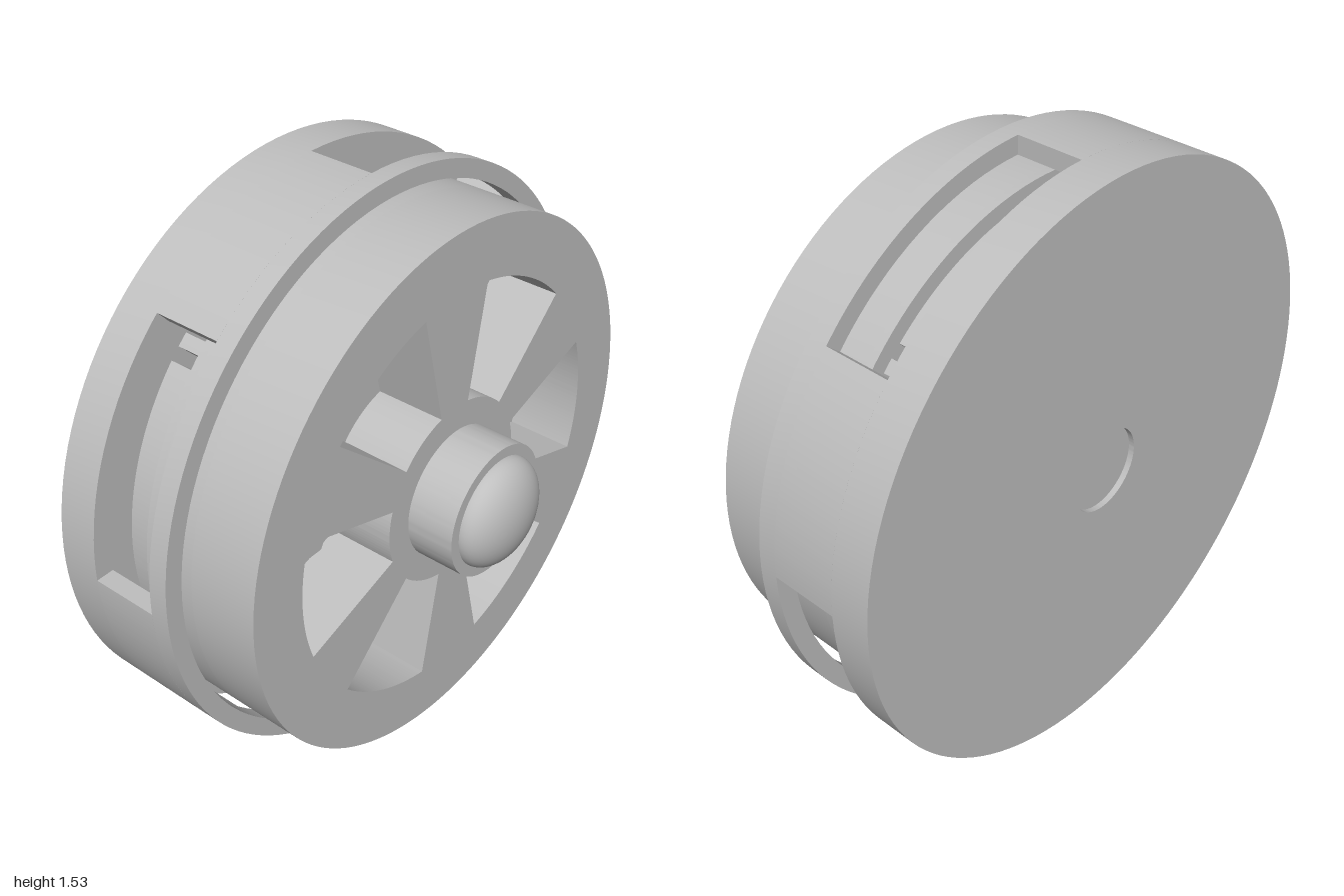
import * as THREE from 'three';
import { toCreasedNormals } from 'three/addons/utils/BufferGeometryUtils.js';

const DEG = Math.PI / 180;

export function createModel() {
  const model = new THREE.Group();
  model.name = 'clutchWheel';
  const metal = new THREE.MeshStandardMaterial({ color: 0xbfbfbf });
  metal.name = 'grey metal';

  const add = (name, geometry, x = 0, y = 0) => {
    const mesh = new THREE.Mesh(geometry, metal);
    mesh.name = name;
    mesh.position.set(x, y + 1.0, 0);
    model.add(mesh);
    return mesh;
  };

  // Extrudes a flat shape from z0 (back) to z1 (front)
  const slab = (shape, z0, z1) => {
    const g = new THREE.ExtrudeGeometry(shape, { depth: z1 - z0, bevelEnabled: false, curveSegments: 64 });
    g.translate(0, 0, z0);
    return toCreasedNormals(g, 0.5);
  };
  const circle = (r) => new THREE.Shape().absarc(0, 0, r, 0, Math.PI * 2, false);
  const ring = (outer, inner) => {
    const s = circle(outer);
    s.holes.push(new THREE.Path().absarc(0, 0, inner, 0, Math.PI * 2, true));
    return s;
  };
  // Annular sector between two angles in degrees
  const sector = (outer, inner, a, b, Type = THREE.Shape) => {
    const p = new Type();
    p.absarc(0, 0, outer, a * DEG, b * DEG, false);
    p.absarc(0, 0, inner, b * DEG, a * DEG, true);
    p.closePath();
    return p;
  };

  // Housing: front rim, four wall pieces with slots between them, back plate
  add('housingRim', slab(ring(0.767, 0.72), -0.09, -0.04));
  for (let k = 0; k < 4; k++) {
    add('housingWall', slab(sector(0.767, 0.72, k * 90, k * 90 + 41), -0.268, -0.09));
  }
  add('housingBack', slab(ring(0.767, 0.11), -0.375, -0.268));
  add('shaftEnd', slab(circle(0.11), -0.36, -0.268));

  // Wheel face with six windows
  const face = circle(0.70);
  for (let k = 0; k < 6; k++) {
    face.holes.push(sector(0.545, 0.243, k * 60 - 18, k * 60 + 18, THREE.Path));
  }
  add('wheelFace', slab(face, -0.03, 0.155));

  // Ring behind the face with inward teeth
  const toothed = circle(0.70);
  const teeth = new THREE.Path();
  const count = 32;
  const step = (Math.PI * 2) / count;
  const profile = [[-0.38, 0.535], [-0.2, 0.475], [0.2, 0.475], [0.38, 0.535]];
  for (let i = 0; i < count; i++) {
    profile.forEach(([t, r], j) => {
      const a = (i + 0.5 + t) * step;
      const method = i + j === 0 ? 'moveTo' : 'lineTo';
      teeth[method](r * Math.cos(a), r * Math.sin(a));
    });
  }
  teeth.closePath();
  toothed.holes.push(teeth);
  add('toothedRing', slab(toothed, -0.15, -0.03));
  add('wheelFloor', slab(circle(0.70), -0.17, -0.15));
  add('carrierDisc', slab(circle(0.447), -0.15, -0.09));

  // Four bosses with hexagonal bolts
  const hex = new THREE.Shape();
  for (let i = 0; i < 6; i++) {
    hex[i ? 'lineTo' : 'moveTo'](0.077 * Math.cos(i * 60 * DEG), 0.077 * Math.sin(i * 60 * DEG));
  }
  hex.closePath();
  for (let k = 0; k < 4; k++) {
    const x = 0.35 * Math.cos(k * 90 * DEG);
    const y = 0.35 * Math.sin(k * 90 * DEG);
    add('boss', slab(circle(0.112), -0.09, -0.05), x, y);
    add('hexBolt', slab(hex, -0.05, 0.0), x, y);
  }

  // Shoes seen through the housing slots
  for (let k = 0; k < 4; k++) {
    add('shoe', slab(sector(0.66, 0.45, k * 90 - 43, k * 90 + 30), -0.262, -0.17));
    add('shoeStop', slab(sector(0.66, 0.6, k * 90 - 49, k * 90 - 46), -0.262, -0.17));
  }
  add('rearHub', slab(circle(0.45), -0.268, -0.17));

  // Hub with a rounded cap
  add('hub', slab(circle(0.173), 0.155, 0.283));
  const dome = new THREE.SphereGeometry(0.145, 48, 16, 0, Math.PI * 2, 0, Math.PI / 2);
  dome.rotateX(Math.PI / 2);
  dome.scale(1, 1, 0.55);
  dome.translate(0, 0, 0.282);
  add('hubCap', dome);

  return model;
}
